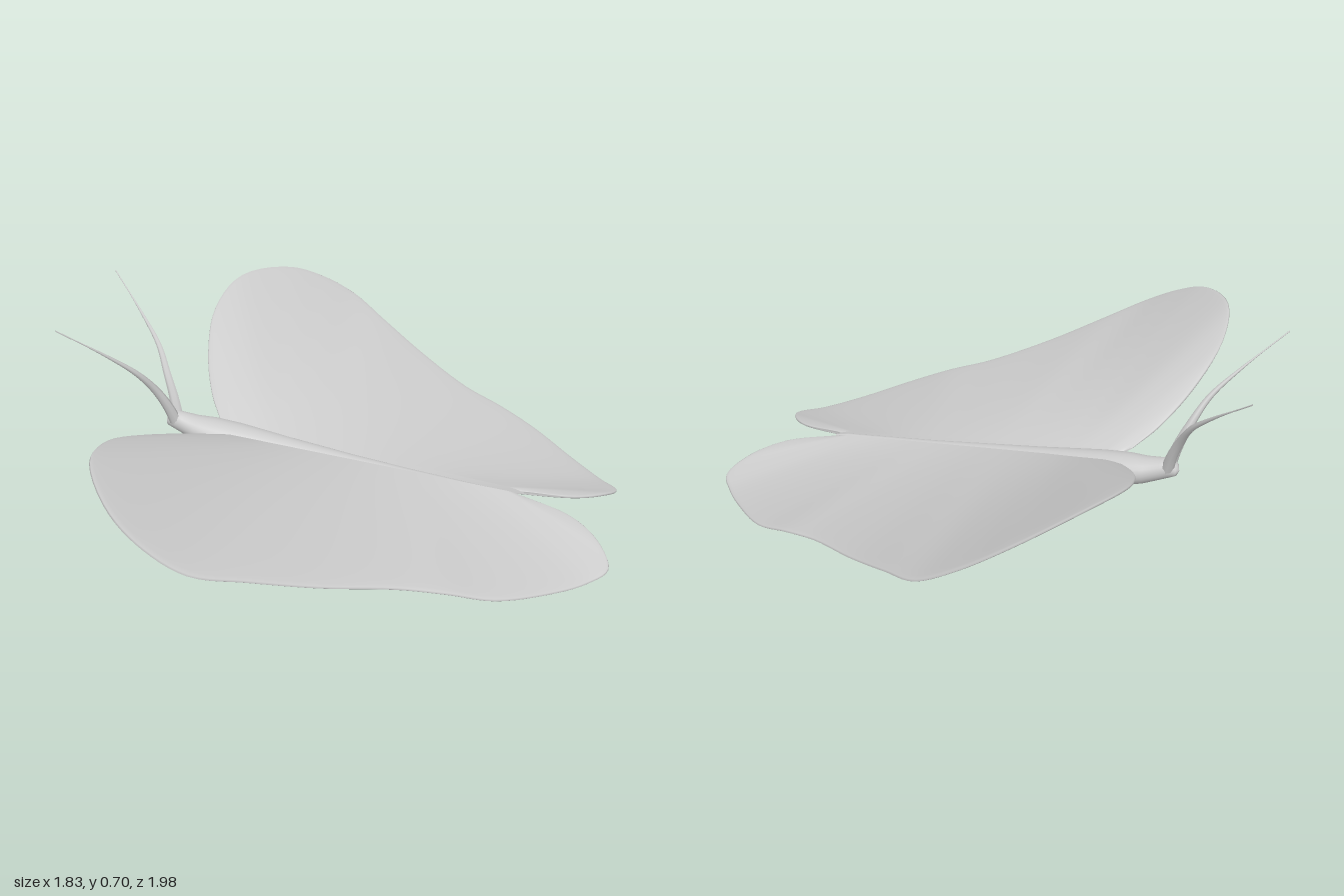
import * as THREE from 'three';

const material = new THREE.MeshStandardMaterial({ color: 0xcccccc, roughness: 0.7, side: THREE.DoubleSide });
const V = (p) => new THREE.Vector3(...p);

// Skin a list of equally long cross-sections (arrays of Vector3)
function loft(sections, closed) {
  const n = sections[0].length;
  const index = [];
  for (let i = 0; i < sections.length - 1; i++) {
    for (let j = 0; j < (closed ? n : n - 1); j++) {
      const a = i * n + j, b = i * n + (j + 1) % n;
      index.push(a, b, a + n, b, b + n, a + n);
    }
  }
  const geometry = new THREE.BufferGeometry().setFromPoints(sections.flat());
  geometry.setIndex(index);
  geometry.computeVertexNormals();
  return geometry;
}

// Wing: straight rays from the root line to the curved margin, with a rounded rim
function wingGeometry(side) {
  const margin = new THREE.CatmullRomCurve3([
    [-0.48, 0.275, 0.055], [-0.54, 0.32, 0.15], [-0.605, 0.40, 0.31], [-0.64, 0.49, 0.51],
    [-0.6, 0.54, 0.72], [-0.46, 0.505, 0.915], [-0.34, 0.445, 0.98], [-0.22, 0.38, 0.985],
    [-0.08, 0.315, 0.9], [0.1, 0.235, 0.785], [0.3, 0.165, 0.66], [0.44, 0.125, 0.605],
    [0.58, 0.075, 0.545], [0.74, 0.03, 0.42], [0.85, 0.013, 0.32], [0.91, 0.022, 0.245],
    [0.87, 0.057, 0.15], [0.77, 0.09, 0.062], [0.6, 0.118, 0.015],
  ].map(V), false, 'centripetal');
  const rootFront = V([-0.45, 0.262, 0.035]), rootBack = V([0.59, 0.12, 0.012]);
  const sections = [];
  const rays = 90, steps = 28;
  for (let i = 0; i <= rays; i++) {
    const t = i / rays;
    const root = rootFront.clone().lerp(rootBack, THREE.MathUtils.smoothstep(t, 0, 1));
    const edge = margin.getPoint(t);
    const thick = 0.012 * Math.min(1, 0.3 + 6 * t, 0.3 + 6 * (1 - t));
    const row = [];
    for (let j = 0; j <= steps; j++) {
      const a = Math.PI * j / steps, c = Math.cos(a);
      const p = root.clone().lerp(edge, Math.sin(a));
      p.y += thick * Math.sign(c) * Math.abs(c) ** 0.5;
      p.z *= side;
      // slight skew of the resting pose
      row.push(V([p.x - 0.02 * p.z, Math.max(p.y, 0), p.z - 0.035 * p.x]));
    }
    sections.push(row);
  }
  return loft(sections, false);
}

// Body: elliptical sections [x, bottom, top, halfWidth] from head to tail
function bodyGeometry() {
  const stations = [
    [-0.662, 0.272, 0.276, 0.002], [-0.655, 0.256, 0.295, 0.022], [-0.63, 0.243, 0.313, 0.032],
    [-0.6, 0.228, 0.306, 0.037], [-0.55, 0.205, 0.296, 0.05], [-0.49, 0.186, 0.292, 0.063],
    [-0.4, 0.17, 0.28, 0.064], [-0.3, 0.165, 0.262, 0.057], [-0.18, 0.163, 0.24, 0.047],
    [0, 0.151, 0.21, 0.036], [0.2, 0.131, 0.178, 0.028], [0.4, 0.112, 0.15, 0.021],
    [0.56, 0.096, 0.128, 0.014], [0.61, 0.1, 0.115, 0.003],
  ];
  return loft(stations.map(([x, bottom, top, width]) => {
    const ring = [];
    for (let j = 0; j < 24; j++) {
      const a = j / 24 * Math.PI * 2;
      ring.push(V([x, (top + bottom) / 2 + Math.sin(a) * (top - bottom) / 2,
        Math.cos(a) * width - 0.02 * Math.max(x, 0)]));
    }
    return ring;
  }), true);
}

// Antenna: tube tapering toward its tip
function antennaGeometry(side) {
  const curve = new THREE.CatmullRomCurve3([
    [-0.625, 0.275, 0.012], [-0.643, 0.345, 0.032], [-0.672, 0.42, 0.06],
    [-0.715, 0.505, 0.11], [-0.79, 0.59, 0.168], [-0.915, 0.71, 0.257],
  ].map(([x, y, z]) => V([x, y, z * side])));
  const segments = 30, sides = 8;
  const geometry = new THREE.TubeGeometry(curve, segments, 0.021, sides);
  const position = geometry.attributes.position, p = new THREE.Vector3();
  for (let k = 0; k < position.count; k++) {
    const t = Math.floor(k / (sides + 1)) / segments;
    p.fromBufferAttribute(position, k).lerp(curve.getPointAt(t), 1 - Math.max(0.1, (1 - t) ** 1.3));
    position.setXYZ(k, p.x, p.y, p.z);
  }
  geometry.computeVertexNormals();
  return geometry;
}

export function createModel() {
  const model = new THREE.Group();
  model.name = 'butterfly';
  const add = (name, geometry) => {
    const mesh = new THREE.Mesh(geometry, material);
    mesh.name = name;
    model.add(mesh);
  };
  add('body', bodyGeometry());
  for (const [label, side] of [['front', 1], ['back', -1]]) {
    add(label + 'Wing', wingGeometry(side));
    add(label + 'Antenna', antennaGeometry(side));
  }
  return model;
}
